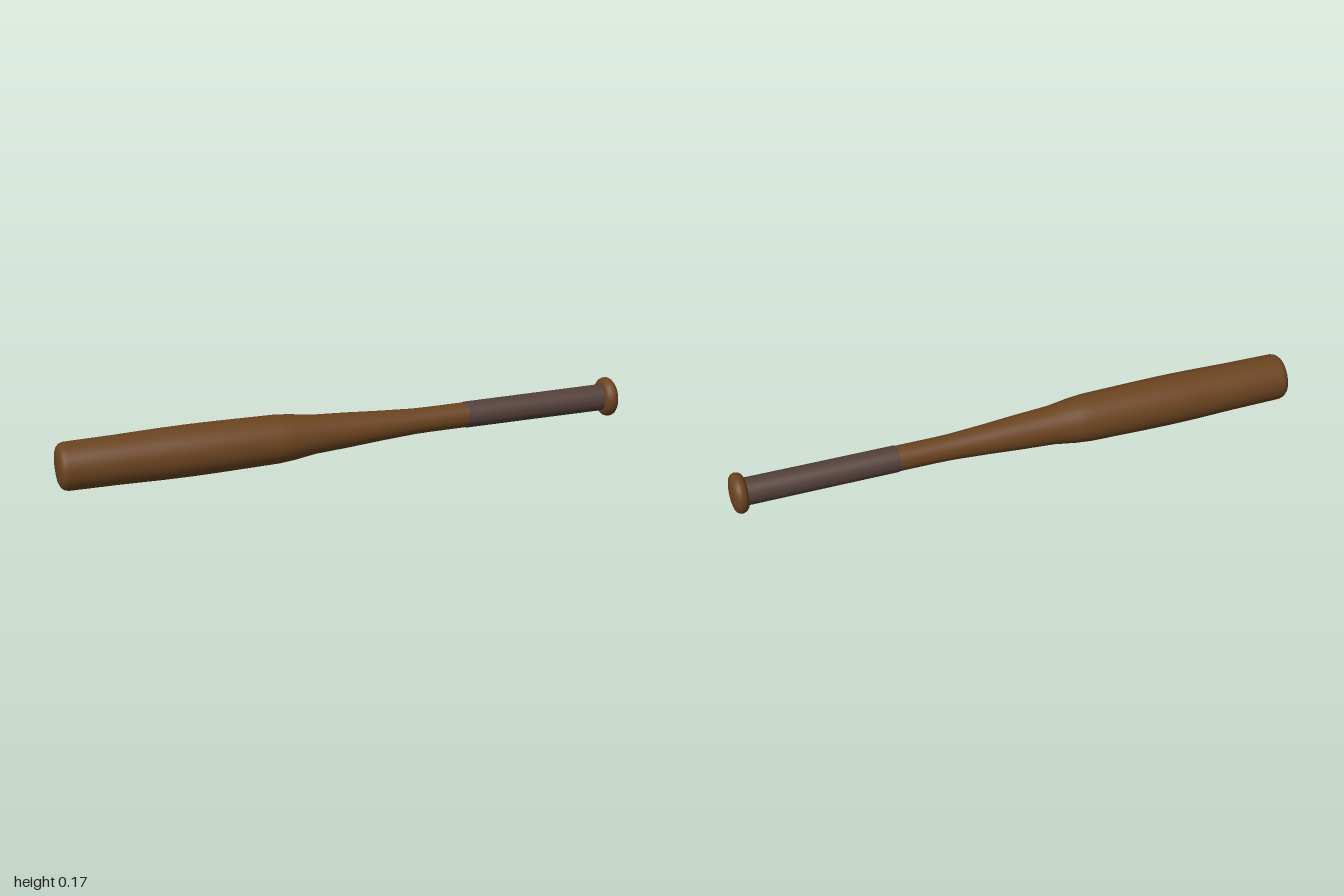
import * as THREE from 'three';

const CENTER_Y = 0.0875;
const wood = new THREE.MeshStandardMaterial({ color: 0x6b4420 });
const wrap = new THREE.MeshStandardMaterial({ color: 0x54403a });

// Turned part lying along x, from [x, radius] pairs running towards +x
function turned(name, profile, material) {
  const points = profile.map(([x, r]) => new THREE.Vector2(r, x));
  const geometry = new THREE.LatheGeometry(points, 48);
  geometry.rotateZ(-Math.PI / 2);
  const mesh = new THREE.Mesh(geometry, material);
  mesh.name = name;
  mesh.position.y = CENTER_Y;
  return mesh;
}

export function createModel() {
  const group = new THREE.Group();
  group.name = 'bat';

  // Barrel with a softly rounded end, tapering into the handle
  group.add(turned('barrelAndTaper', [
    [-1, 0], [-0.999, 0.03], [-0.996, 0.055], [-0.99, 0.069], [-0.981, 0.077], [-0.968, 0.081],
    [-0.8, 0.083], [-0.65, 0.0865], [-0.55, 0.0875], [-0.45, 0.0865], [-0.25, 0.083], [-0.2, 0.0785],
    [-0.12, 0.067], [0, 0.06], [0.12, 0.0515], [0.24, 0.0445], [0.3, 0.0435], [0.44, 0.0435],
  ], wood));

  // Wrapped grip, slightly proud of the wood
  group.add(turned('grip', [[0.43, 0.0435], [0.433, 0.0455], [0.7, 0.0458], [0.955, 0.0465]], wrap));

  // Rounded knob
  group.add(turned('knob', [
    [0.946, 0], [0.946, 0.045], [0.95, 0.057], [0.957, 0.0645], [0.967, 0.0685], [0.977, 0.0685],
    [0.986, 0.064], [0.993, 0.055], [0.998, 0.035], [1, 0],
  ], wood));

  return group;
}
